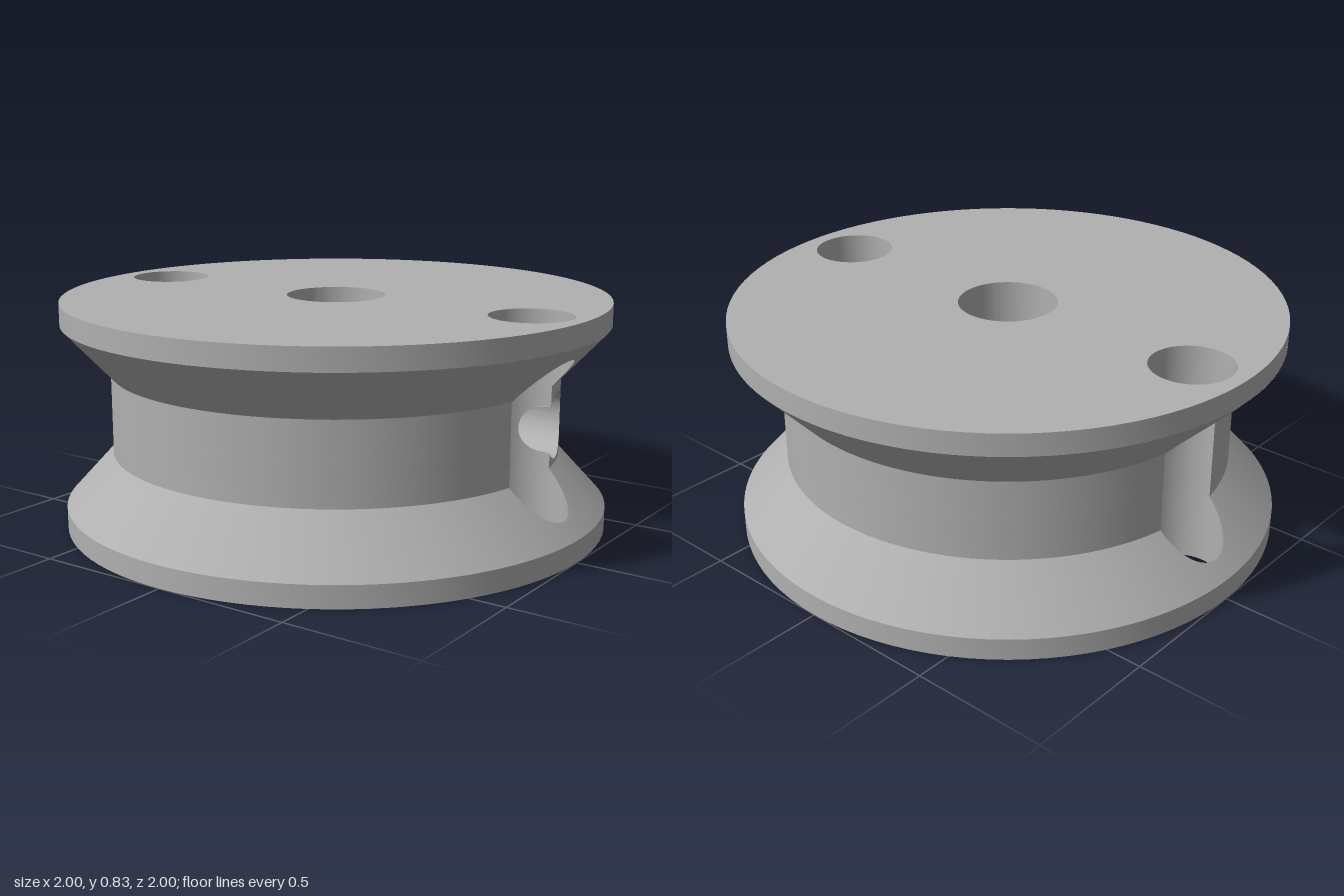
import * as THREE from 'three';
import { toCreasedNormals } from 'three/addons/utils/BufferGeometryUtils.js';

// Main sizes
const H = 0.833, RIM = 0.08, CORE_LOW = 0.27, CORE_HIGH = 0.565;
const R = 1, CORE_R = 0.825, BORE_R = 0.18;
const PIN_X = 0.8, PIN_R = 0.147;                                // vertical side holes
const ROPE = { y: 0.408, z: -0.233, r: 0.121, floor: 0.4 };      // blind sideways hole

const range = (n, f) => Array.from({ length: n + 1 }, (_, i) => f(i / n));
const sortUnique = (a) => a.sort((p, q) => p - q).filter((v, i) => i === 0 || v - a[i - 1] > 1e-6);
const polar = (r, a, y) => [r * Math.cos(a), y, -r * Math.sin(a)];

// Smooth ribbon through pairs of points
function strip(pairs) {
  const g = new THREE.BufferGeometry(), index = [];
  g.setAttribute('position', new THREE.Float32BufferAttribute(pairs.flat(2), 3));
  for (let i = 0; i < pairs.length - 1; i++) {
    const k = i * 2;
    index.push(k, k + 2, k + 1, k + 1, k + 2, k + 3);
  }
  g.setIndex(index);
  return toCreasedNormals(g, 0.6);
}

// Height of the lower flange's slope at a given radius
const slopeY = (r) => {
  const t = THREE.MathUtils.clamp((R - r) / (R - CORE_R), 0, 1);
  return RIM + t * (CORE_LOW - RIM);
};
const upperY = (r) => H - slopeY(r) + (CORE_LOW + CORE_HIGH - H) * (slopeY(r) - RIM) / (CORE_LOW - RIM);

// Core outline on the +x side: round wall with the pin hole's groove
const coreX = (z) => Math.abs(z) <= PIN_R
  ? PIN_X - Math.sqrt(Math.max(0, PIN_R ** 2 - z * z))
  : Math.sqrt(Math.max(0, CORE_R ** 2 - z * z));

// Inner radius of a flange slope, pushed outward where the pin hole cuts it
const slopeInner = (a) => {
  const d = PIN_R ** 2 - (PIN_X * Math.sin(a)) ** 2;
  return d > 0 ? Math.max(CORE_R, PIN_X * Math.cos(a) + Math.sqrt(d)) : CORE_R;
};

export function createModel() {
  const model = new THREE.Group();
  const metal = new THREE.MeshStandardMaterial({ color: 0xb0b0b0, side: THREE.DoubleSide });
  metal.name = 'grey metal';

  const add = (name, geometry, turned = false) => {
    const mesh = new THREE.Mesh(geometry, metal);
    mesh.name = name;
    if (turned) mesh.rotation.y = Math.PI;
    model.add(mesh);
  };

  // Flat end faces with the three through holes
  const disc = new THREE.Shape().absarc(0, 0, R, 0, Math.PI * 2);
  for (const [x, r] of [[0, BORE_R], [PIN_X, PIN_R], [-PIN_X, PIN_R]]) {
    disc.holes.push(new THREE.Path().absarc(x, 0, r, 0, Math.PI * 2, true));
  }
  add('topFace', new THREE.ShapeGeometry(disc, 48).rotateX(-Math.PI / 2).translate(0, H, 0));
  add('bottomFace', new THREE.ShapeGeometry(disc, 48).rotateX(Math.PI / 2));

  // Outer rims and centre bore
  const circle = range(96, (t) => t * Math.PI * 2);
  const ring = (r, y0, y1) => strip(circle.map((a) => [polar(r, a, y0), polar(r, a, y1)]));
  add('lowerRim', ring(R, 0, RIM));
  add('upperRim', ring(R, H - RIM, H));
  add('centreBore', strip(circle.map((a) => [polar(BORE_R, -a, 0), polar(BORE_R, -a, H)])));

  // Sample angles for half a slope, dense around the pin hole
  const corner = Math.acos((CORE_R ** 2 + PIN_X ** 2 - PIN_R ** 2) / (2 * CORE_R * PIN_X));
  const angles = sortUnique([
    ...range(64, (t) => (t - 0.5) * Math.PI), corner, -corner,
    ...range(48, (t) => {
      const p = (t - 0.5) * Math.PI * 1.1;
      return Math.atan2(PIN_R * Math.sin(p), PIN_X + PIN_R * Math.cos(p));
    }),
  ]);

  // Sample depths for half the core, dense at the groove and rope hole
  const cosines = (n, mid, r) => range(n, (t) => mid + r * Math.cos(t * Math.PI));
  const depths = sortUnique([
    ...cosines(72, 0, CORE_R), ...cosines(40, 0, PIN_R), ...cosines(40, ROPE.z, ROPE.r),
    PIN_R + 1e-4, -PIN_R - 1e-4,
  ]).reverse();
  const gap = (z) => Math.sqrt(Math.max(0, ROPE.r ** 2 - (z - ROPE.z) ** 2));

  for (const turned of [false, true]) {
    const side = turned ? 'right' : 'left';

    // Sloping flanges
    add(side + 'LowerSlope', strip(angles.map((a) => {
      const r = slopeInner(a);
      return [polar(R, a, RIM), polar(r, a, slopeY(r))];
    })), turned);
    add(side + 'UpperSlope', strip(angles.map((a) => {
      const r = slopeInner(a);
      return [polar(r, a, upperY(r)), polar(R, a, H - RIM)];
    })), turned);

    // Pin hole walls through each flange
    const pinWall = (ends) => strip(circle.map((a) => {
      const x = PIN_X + PIN_R * Math.cos(a), z = PIN_R * Math.sin(a);
      const [y0, y1] = ends(Math.hypot(x, z));
      return [[x, y0, z], [x, y1, z]];
    }));
    add(side + 'LowerPinHole', pinWall((r) => [0, slopeY(r)]), turned);
    add(side + 'UpperPinHole', pinWall((r) => [upperY(r), H]), turned);

    // Grooved core wall; only the left half opens for the rope hole
    const open = (z) => (turned ? 0 : gap(z));
    add(side + 'LowerCore', strip(depths.map((z) =>
      [[coreX(z), CORE_LOW, z], [coreX(z), ROPE.y - open(z), z]])), turned);
    add(side + 'UpperCore', strip(depths.map((z) =>
      [[coreX(z), ROPE.y + open(z), z], [coreX(z), CORE_HIGH, z]])), turned);
  }

  // Blind rope hole
  add('ropeHole', strip(circle.map((a) => {
    const y = ROPE.y + ROPE.r * Math.sin(a), z = ROPE.z + ROPE.r * Math.cos(a);
    return [[ROPE.floor, y, z], [coreX(z), y, z]];
  })));
  add('ropeHoleFloor', new THREE.CircleGeometry(ROPE.r, 48)
    .rotateY(Math.PI / 2).translate(ROPE.floor, ROPE.y, ROPE.z));

  return model;
}
